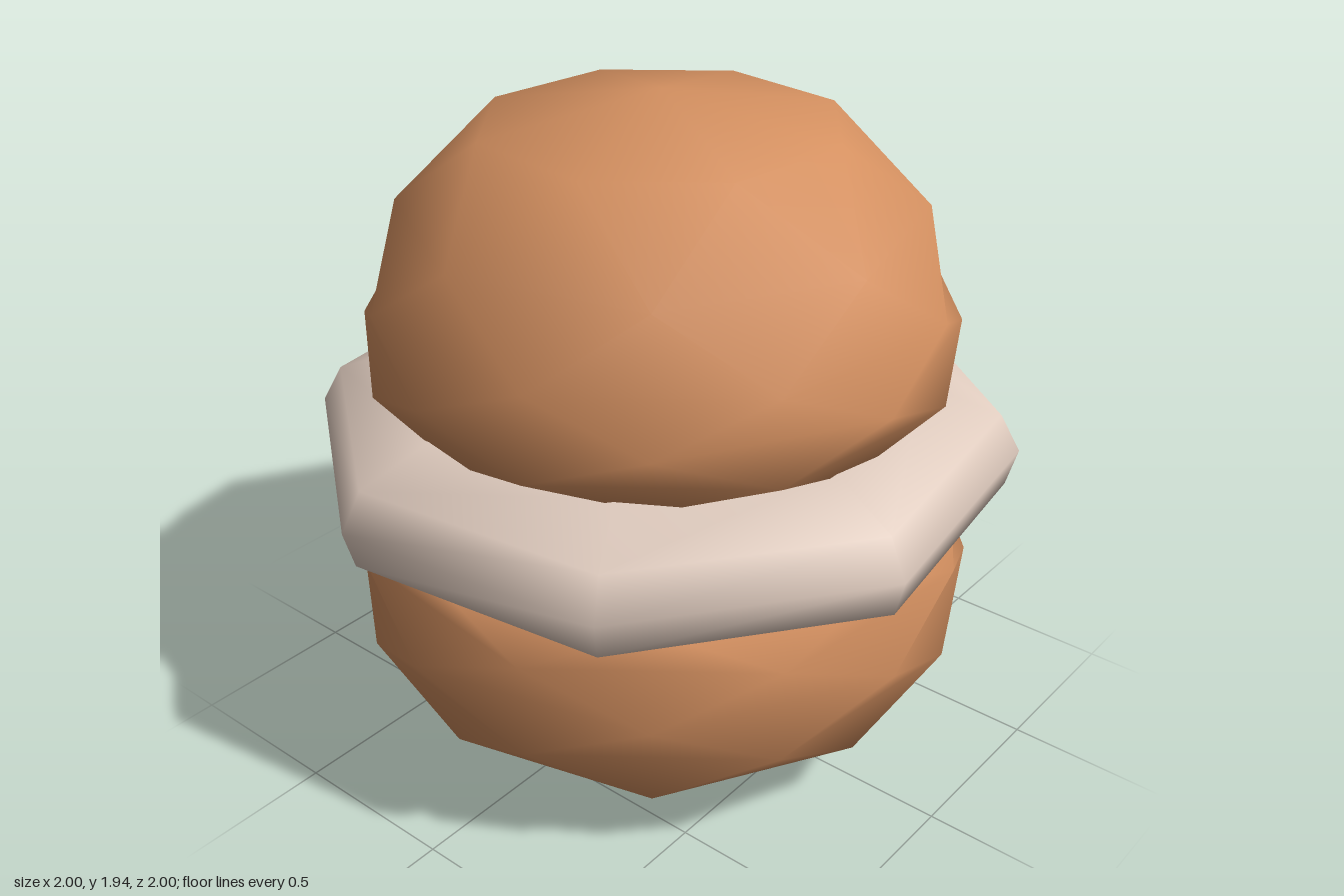
import * as THREE from 'three';
import { mergeVertices } from 'three/addons/utils/BufferGeometryUtils.js';

const SIDES = 8;

// Smooth loft through eight-sided rings [y, radius], bottom to top.
// Each ring is turned by `twist` degrees from the one below it.
function loft(rings, startAngle, twist) {
  const positions = [];
  const index = [];
  rings.forEach(([y, r], i) => {
    for (let j = 0; j < SIDES; j++) {
      const a = THREE.MathUtils.degToRad(startAngle + twist * i + (360 / SIDES) * j);
      positions.push(r * Math.cos(a), y, r * Math.sin(a));
    }
  });
  for (let i = 0; i < rings.length - 1; i++) {
    for (let j = 0; j < SIDES; j++) {
      const k = (j + 1) % SIDES;
      const a = i * SIDES + j, b = i * SIDES + k;
      const c = a + SIDES, d = b + SIDES;
      if (rings[i][1] > 0) index.push(a, c, b);
      if (rings[i + 1][1] > 0) index.push(b, c, d);
    }
  }
  const geometry = new THREE.BufferGeometry();
  geometry.setAttribute('position', new THREE.Float32BufferAttribute(positions, 3));
  geometry.setIndex(index);
  // Joins the points at each pole so the shading stays smooth there
  const merged = mergeVertices(geometry);
  merged.computeVertexNormals();
  return merged;
}

export function createModel() {
  const group = new THREE.Group();

  const crust = new THREE.MeshStandardMaterial({ color: 0xd49060 });
  crust.name = 'brown crust';
  const cream = new THREE.MeshStandardMaterial({ color: 0xdfcbbe });
  cream.name = 'pale cream';

  const add = (name, geometry, material) => {
    const mesh = new THREE.Mesh(geometry, material);
    mesh.name = name;
    group.add(mesh);
  };

  // Rounded lower half
  add('lowerBun', loft([
    [0, 0], [0.06, 0.55], [0.2, 0.79], [0.37, 0.89], [0.52, 0.917],
    [0.66, 0.9], [0.8, 0.86], [0.85, 0],
  ], 7.3, 22.5), crust);

  // Domed upper half
  add('upperBun', loft([
    [1.0, 0], [1.08, 0.74], [1.17, 0.835], [1.28, 0.847], [1.41, 0.82],
    [1.62, 0.735], [1.85, 0.51], [1.94, 0],
  ], -15.2, 22.5), crust);

  // Wide filling between the halves
  add('filling', loft([
    [0.74, 0], [0.74, 0.88], [0.82, 1.0], [0.93, 1.03],
    [1.04, 0.97], [1.12, 0.75], [1.12, 0],
  ], 14.4, 0), cream);

  return group;
}
